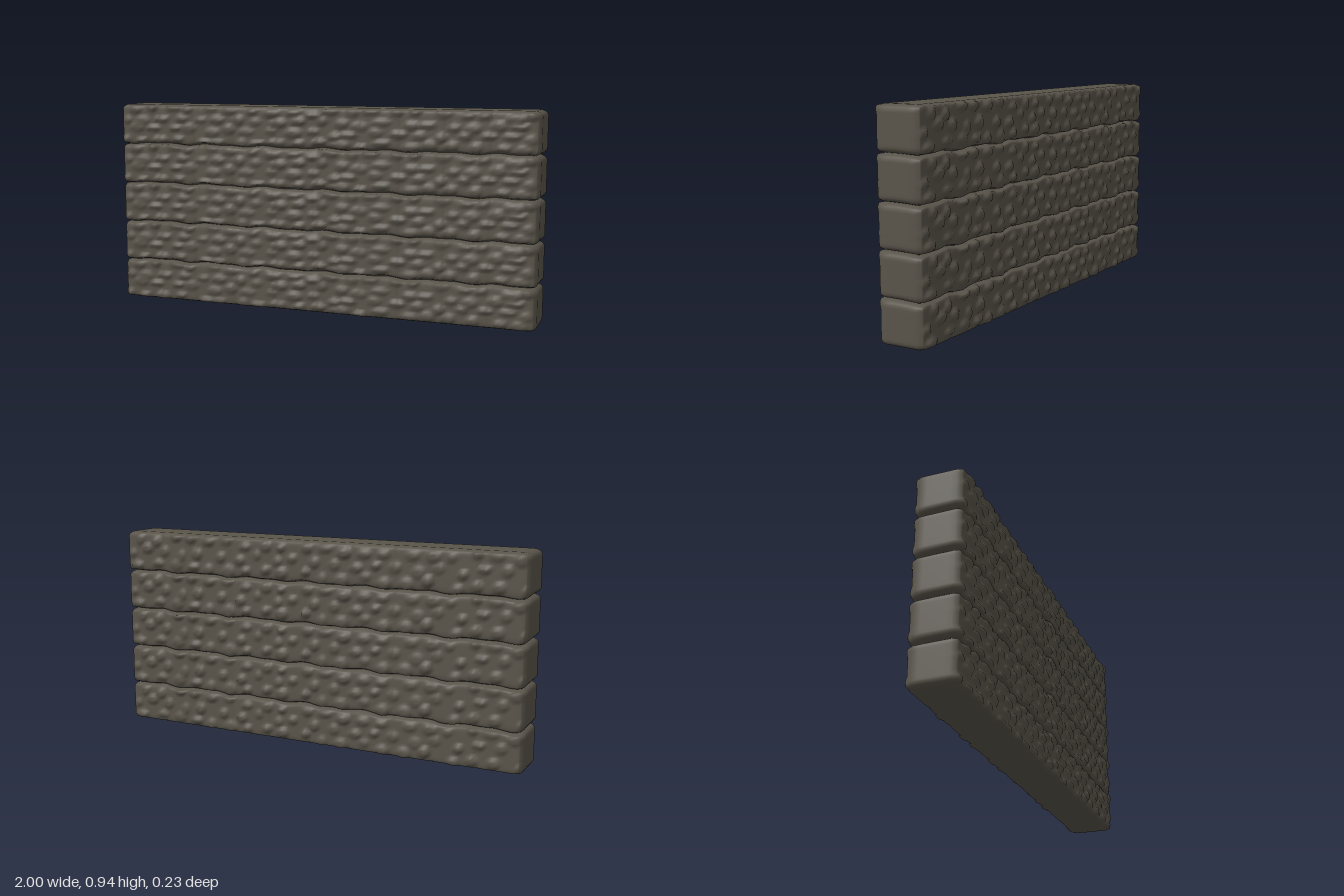
import * as THREE from 'three';
import { mergeVertices } from 'three/addons/utils/BufferGeometryUtils.js';

const ROWS = 5, COLS = 10, ROW_H = 0.188, BLOCK_W = 0.2;
const HALF = new THREE.Vector3(1, ROW_H / 2, 0.104);
const ROUND = new THREE.Vector3(0.04, 0.024, 0.016);

// Small seeded generator
function seeded(seed) {
  return () => (seed = (seed * 16807) % 2147483647) / 2147483647;
}

// Scatter lumps on a jittered grid inside every block of a course
function makeLumps(seed, nx, ny, rx, ry, height) {
  const rand = seeded(seed), lumps = [];
  for (let c = 0; c < COLS; c++)
    for (let i = 0; i < nx; i++)
      for (let j = 0; j < ny; j++) {
        const shift = j % 2 ? 0.25 : -0.25;
        lumps.push({
          x: -1 + (c + (i + 0.5 + shift + (rand() - 0.5) * 0.4) / nx) * BLOCK_W,
          y: ((j + 0.5 + (rand() - 0.5) * 0.5) / ny - 0.5) * ROW_H,
          rx: rx * (0.75 + rand() * 0.5),
          ry: ry * (0.75 + rand() * 0.5),
          h: height * (0.6 + rand() * 0.4),
        });
      }
  return lumps;
}

// Height of the strongest lump at a point
function lumpHeight(lumps, x, y) {
  let best = 0;
  for (const l of lumps) {
    const d = ((x - l.x) / l.rx) ** 2 + ((y - l.y) / l.ry) ** 2;
    if (d < 1) best = Math.max(best, l.h * Math.min(1, 1.5 * (1 - d)));
  }
  return best;
}

// Shallow groove where two blocks meet
function jointDepth(x) {
  const d = Math.abs(x / BLOCK_W - Math.round(x / BLOCK_W)) * BLOCK_W;
  return Math.abs(x) > 0.95 ? 0 : 0.005 * Math.exp(-((d / 0.012) ** 2));
}

// One course of stone: a box with softened edges and lumpy faces
function courseGeometry(row, frontLumps, backLumps) {
  let geo = new THREE.BoxGeometry(2, ROW_H, HALF.z * 2, 180, 18, 8);
  geo.deleteAttribute('uv');
  geo.deleteAttribute('normal');
  geo = mergeVertices(geo);
  const pos = geo.attributes.position;
  const p = new THREE.Vector3(), inner = new THREE.Vector3();
  const limit = HALF.clone().sub(ROUND), low = limit.clone().negate();
  for (let i = 0; i < pos.count; i++) {
    p.fromBufferAttribute(pos, i);
    const side = p.z / HALF.z, rise = p.y / HALF.y;
    inner.copy(p).clamp(low, limit);
    const d = p.clone().sub(inner).divide(ROUND);
    if (d.lengthSq() > 1) d.normalize();
    p.copy(inner).add(d.multiply(ROUND));

    // Lumps and joints push the front and back faces in and out
    if (Math.abs(side) > 0.99) {
      const fade = THREE.MathUtils.clamp((1 - Math.abs(p.x)) / 0.03, 0, 1);
      const h = lumpHeight(side > 0 ? frontLumps : backLumps, p.x, p.y);
      p.z += Math.sign(side) * (h * fade - jointDepth(p.x));
    }
    // Bed joints tilt slightly and wander; the wall's top and base stay level
    const outer = (row === 0 && rise < 0) || (row === ROWS - 1 && rise > 0);
    if (!outer) {
      const wave = 0.004 * Math.sin(p.x * 23 + 1) + 0.003 * Math.sin(p.x * 41);
      p.y += Math.abs(rise) ** 3 * (0.003 * side + wave * Math.abs(side));
    }
    pos.setXYZ(i, p.x, p.y, p.z);
  }
  geo.computeVertexNormals();
  return geo;
}

export function createModel() {
  const wall = new THREE.Group();
  wall.name = 'stoneWall';
  const stone = new THREE.MeshStandardMaterial({ color: 0x59544a });
  const frontLumps = makeLumps(41, 2, 4, 0.04, 0.02, 0.012);
  const backLumps = makeLumps(977, 2, 3, 0.032, 0.025, 0.014);

  // Stacked courses share the same stone pattern
  for (let row = 0; row < ROWS; row++) {
    const course = new THREE.Mesh(courseGeometry(row, frontLumps, backLumps), stone);
    course.name = `stoneCourse${row + 1}`;
    course.position.y = (row + 0.5) * ROW_H;
    wall.add(course);
  }
  return wall;
}
